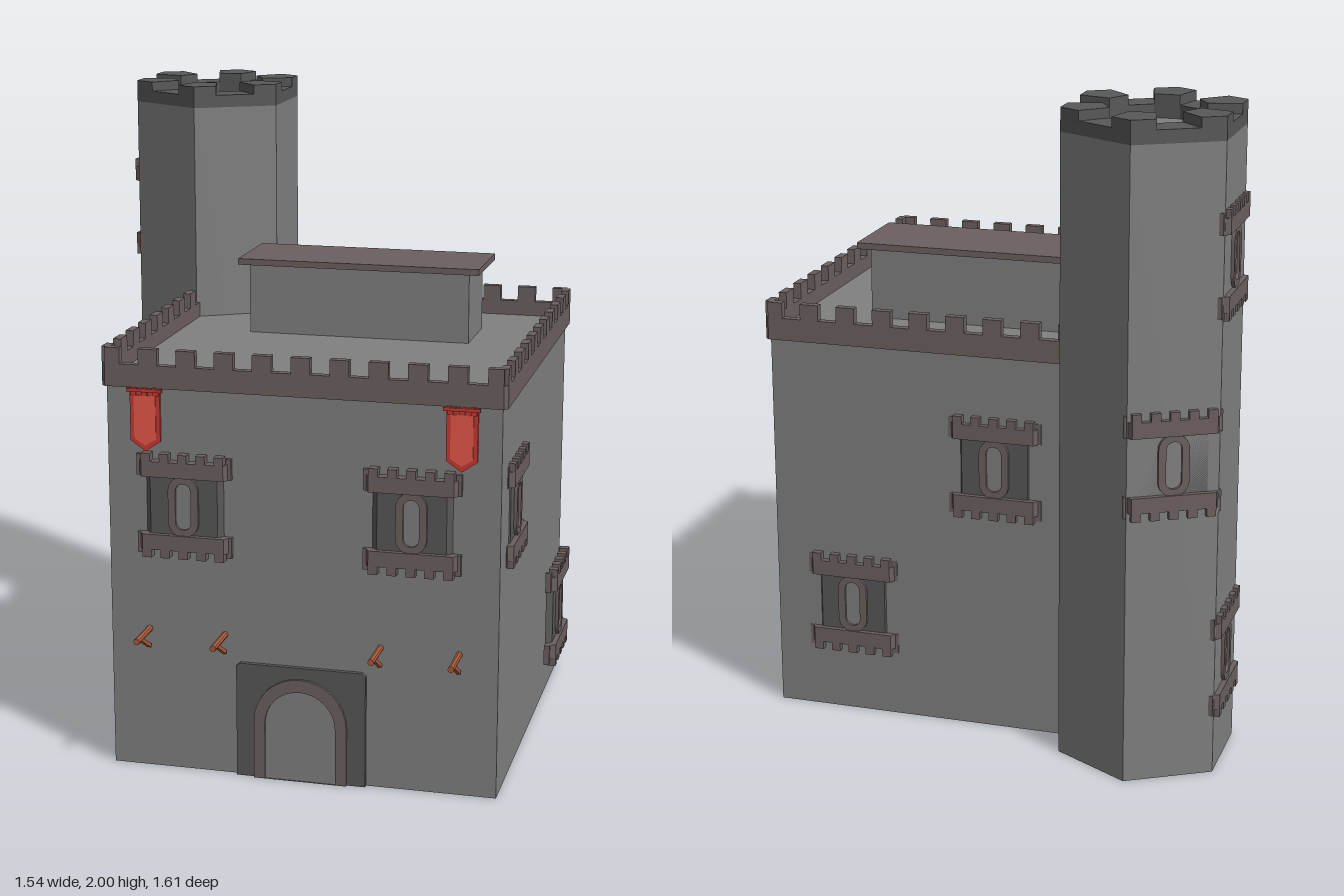
import * as THREE from 'three';

const mat = (color) => new THREE.MeshStandardMaterial({ color, flatShading: true, side: THREE.DoubleSide });
const STONE = mat(0x808080), DARK = mat(0x585858), TRIM = mat(0x6c6060);
const RED = mat(0xc83a34), BRIGHT = mat(0xe65a48), WOOD = mat(0xa85a3c);

function add(parent, name, geometry, material, x = 0, y = 0, z = 0) {
  const m = new THREE.Mesh(geometry, material);
  m.name = name;
  m.position.set(x, y, z);
  parent.add(m);
  return m;
}

const box = (parent, name, material, x0, x1, y0, y1, z0, z1) =>
  add(parent, name, new THREE.BoxGeometry(x1 - x0, y1 - y0, z1 - z0), material,
    (x0 + x1) / 2, (y0 + y1) / 2, (z0 + z1) / 2);

const toShape = (pts) => new THREE.Shape(pts.map(([x, y]) => new THREE.Vector2(x, y)));
const extrude = (shape, depth) =>
  new THREE.ExtrudeGeometry(shape, { depth, bevelEnabled: false, curveSegments: 8 });

// Upright prism from a plan of [x, z] points, with an optional hole
function prism(plan, height, hole) {
  const flip = (pts) => pts.map(([x, z]) => [x, -z]);
  const shape = toShape(flip(plan));
  if (hole) shape.holes.push(toShape(flip(hole)));
  return extrude(shape, height).rotateX(-Math.PI / 2);
}

// Rounded slot outline; flat at the bottom when it is a doorway
function slot(r, bottom, top, flat) {
  const s = new THREE.Shape();
  s.moveTo(r, bottom);
  s.lineTo(r, top);
  s.absarc(0, top, r, 0, Math.PI, false);
  s.lineTo(-r, bottom);
  if (flat) s.lineTo(r, bottom);
  else s.absarc(0, bottom, r, Math.PI, 2 * Math.PI, false);
  return s;
}

function ring(outer, inner, depth) {
  outer.holes.push(inner);
  return extrude(outer, depth);
}

const polar = (r, a) => [r * Math.sin(a), r * Math.cos(a)];
const trapezoid = (back, front, depth) => [[-back, 0], [back, 0], [front, depth], [-front, depth]];

// Bay window with toothed bands, facing +z from its own origin
function bayWindow() {
  const g = new THREE.Group();
  add(g, 'windowPanel', prism(trapezoid(0.125, 0.105, 0.02), 0.22), DARK, 0, -0.11);
  for (const s of [1, -1]) {
    add(g, 'windowBand', prism(trapezoid(0.148, 0.128, 0.036), 0.048), TRIM, 0, s > 0 ? 0.09 : -0.138);
    const w = 0.256 / 9;
    for (let i = 0; i < 5; i++) {
      const x = -0.128 + 2 * i * w;
      box(g, 'windowTooth', TRIM, x, x + w, s > 0 ? 0.138 : -0.163, s > 0 ? 0.163 : -0.138, 0.008, 0.036);
    }
    for (const e of [1, -1])
      box(g, 'windowBandEnd', TRIM, e * 0.14 - 0.008, e * 0.14 + 0.008,
        s > 0 ? 0.09 : -0.155, s > 0 ? 0.155 : -0.09, 0, 0.018);
  }
  add(g, 'windowSurround', ring(slot(0.047, -0.048, 0.048), slot(0.024, -0.048, 0.048), 0.012), TRIM, 0, 0, 0.018);
  add(g, 'windowPane', new THREE.ShapeGeometry(slot(0.024, -0.048, 0.048), 8), STONE, 0, 0, 0.022);
  return g;
}

// Wall limits of the keep
const X0 = -0.516, X1 = 0.688, Z0 = -0.533, Z1 = 0.679;
const TX = -0.515, TZ = -0.512, TR = 0.279, TA = TR * Math.cos(Math.PI / 6);

function keep() {
  const g = new THREE.Group();
  g.name = 'keep';
  box(g, 'keepWalls', STONE, X0, X1, 0, 1.23, Z0, Z1);

  // Parapet with clipped corners
  const cx = 0.086, cz = 0.072, h = 0.617, t = 0.025, c = 0.012;
  const outer = [[-h + c, -h], [h - c, -h], [h, -h + c], [h, h - c], [h - c, h], [-h + c, h], [-h, h - c], [-h, -h + c]];
  const i = h - t;
  add(g, 'parapet', prism(outer, 0.07, [[-i, -i], [i, -i], [i, i], [-i, i]]), TRIM, cx, 1.208, cz);

  // Merlons along the four sides
  const w = 2 * h / 21;
  for (let side = 0; side < 4; side++) {
    const row = new THREE.Group();
    row.name = 'merlonRow';
    row.position.set(cx, 0, cz);
    row.rotation.y = side * Math.PI / 2;
    g.add(row);
    for (let k = 0; k < 11; k++) {
      const a = Math.max(-h + 2 * k * w, -h + c), b = Math.min(-h + (2 * k + 1) * w, h - c);
      box(row, 'merlon', TRIM, a, b, 1.278, 1.327, h - t, h);
    }
  }

  // Rooftop block and its overhanging cover
  box(g, 'roofBlock', STONE, -0.275, 0.448, 1.22, 1.455, -0.285, -0.047);
  box(g, 'roofCover', TRIM, -0.308, 0.483, 1.455, 1.475, -0.315, -0.025);
  return g;
}

function tower() {
  const g = new THREE.Group();
  g.name = 'tower';
  g.position.set(TX, 0, TZ);
  const hex = [], inner = [], step = Math.PI / 3, q = Math.PI / 12;
  for (let k = 0; k < 6; k++) {
    hex.push(polar(TR, k * step));
    inner.push(polar(0.15, k * step - q), polar(0.15, k * step + q));
  }
  add(g, 'towerWalls', prism(hex, 1.93), STONE);
  add(g, 'towerCrown', prism(hex, 0.04, inner), DARK, 0, 1.93);
  // One merlon on each corner
  const edge = TA / Math.cos(q);
  for (let k = 0; k < 6; k++) {
    const a = k * step;
    const plan = [polar(0.15, a - q), polar(edge, a - q), polar(TR, a), polar(edge, a + q), polar(0.15, a + q)];
    add(g, 'towerMerlon', prism(plan, 0.03), DARK, 0, 1.97);
  }
  return g;
}

function doorway() {
  const g = new THREE.Group();
  g.name = 'doorway';
  g.position.set(0.085, 0, Z1);
  const frame = toShape([[-0.202, 0], [0.202, 0], [0.202, 0.355], [0.19, 0.365], [-0.19, 0.365], [-0.202, 0.355]]);
  add(g, 'doorFrame', extrude(frame, 0.014), DARK);
  add(g, 'doorArch', ring(slot(0.145, 0, 0.185, true), slot(0.11, 0, 0.18, true), 0.012), TRIM, 0, 0, 0.011);
  add(g, 'door', new THREE.ShapeGeometry(slot(0.11, 0, 0.18, true), 8), STONE, 0, 0, 0.017);
  return g;
}

function banner(x) {
  const g = new THREE.Group();
  g.name = 'banner';
  g.position.set(x, 0, Z1);
  const outline = (w, top, side, tip) => toShape([[-w, top], [w, top], [w, side], [0, tip], [-w, side]]);
  add(g, 'bannerCloth', extrude(outline(0.047, 1.2, 1.045, 1.012), 0.008), RED);
  add(g, 'bannerField', extrude(outline(0.034, 1.185, 1.052, 1.03), 0.004), BRIGHT, 0, 0, 0.007);
  box(g, 'bannerRod', RED, -0.055, 0.055, 1.197, 1.207, 0.008, 0.018);
  for (const s of [-1, 0, 1]) box(g, 'bannerLoop', RED, s * 0.035 - 0.009, s * 0.035 + 0.009, 1.185, 1.21, 0.006, 0.014);
  return g;
}

// Pole sticking out of the wall with a slanted brace
function pole(x) {
  const g = new THREE.Group();
  g.name = 'pole';
  g.position.set(x, 0, 0);
  add(g, 'poleBar', new THREE.CylinderGeometry(0.01, 0.01, 0.135, 8).rotateX(Math.PI / 2), WOOD, 0, 0.448, 0.742);
  const brace = box(g, 'poleBrace', WOOD, -0.006, 0.006, -0.006, 0.006, -0.05, 0.05);
  brace.position.set(0, 0.42, 0.73);
  brace.rotation.x = -0.53;
  return g;
}

export function createModel() {
  const model = new THREE.Group();
  model.name = 'castle';
  model.add(keep(), tower(), doorway());

  for (const x of [-0.395, 0.57]) model.add(banner(x));
  for (const x of [-0.395, -0.155, 0.33, 0.57]) model.add(pole(x));

  // Windows: x, y, z, turn
  const H = Math.PI / 2, F = -Math.PI * 5 / 6, sink = 0.02;
  const d = TA - sink;
  const windows = [
    [-0.275, 0.85, Z1 - 0.004, 0], [0.425, 0.85, Z1 - 0.004, 0],
    [X1 - 0.016, 0.85, 0.43, H], [0.732, 0.365, -0.075, H],
    [-0.035, 0.855, Z0 + 0.016, Math.PI], [0.435, 0.36, Z0 + 0.016, Math.PI],
    [X0 - 0.003, 0.345, 0.402, -H],
    [TX - d, 1.57, TZ, -H], [TX - d, 0.34, TZ, -H],
    [TX + d * Math.sin(F), 0.99, TZ + d * Math.cos(F), F],
  ];
  for (const [x, y, z, turn] of windows) {
    const w = bayWindow();
    w.name = 'window';
    w.position.set(x, y, z);
    w.rotation.y = turn;
    model.add(w);
  }
  return model;
}
